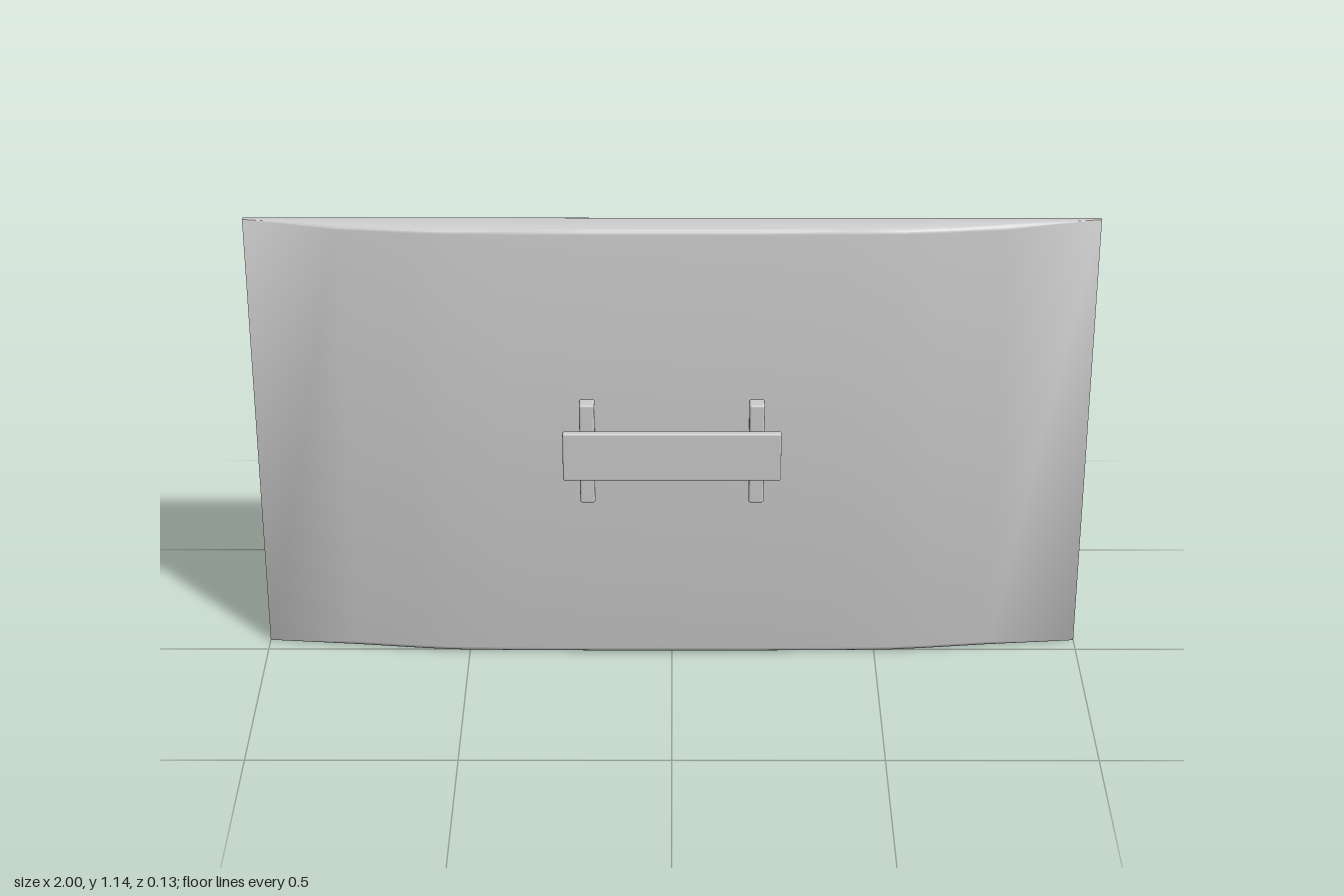
import * as THREE from 'three';
import { toCreasedNormals } from 'three/addons/utils/BufferGeometryUtils.js';
import { RoundedBoxGeometry } from 'three/addons/geometries/RoundedBoxGeometry.js';

const W = 1, H = 1.14;      // half width and full height of the display
const SEAM = -0.045;        // where the rear shell meets the bezel
const INSET = 0.042;        // bezel width

// Skin a surface through rows of points; outward normal = row direction x point direction.
function loft(rows, crease) {
  const n = rows[0].length, index = [];
  for (let i = 0; i < rows.length - 1; i++) {
    for (let j = 0; j < n - 1; j++) {
      const a = i * n + j, b = a + n;
      index.push(a, b, b + 1, a, b + 1, a + 1);
    }
  }
  const geo = new THREE.BufferGeometry();
  geo.setAttribute('position', new THREE.Float32BufferAttribute(rows.flat(2), 3));
  geo.setIndex(index);
  return toCreasedNormals(geo, crease);
}

export function createModel() {
  const group = new THREE.Group();
  const material = new THREE.MeshStandardMaterial({ color: 0xcccccc, side: THREE.DoubleSide });
  const add = (name, geometry, x = 0, y = 0, z = 0) => {
    const mesh = new THREE.Mesh(geometry, material);
    mesh.name = name;
    mesh.position.set(x, y, z);
    group.add(mesh);
  };

  // Bulging shell: flat in the middle, tapering to a thin edge at both sides
  const half = [[1, -0.044], [0.78, -0.014], [0.62, 0.004], [0.54, 0.011], [0.4, 0.014], [0.2, 0.016]];
  const profile = [...half.map(([x, z]) => [-x, z]), ...[...half].reverse()];
  const sections = profile.map(([x, front]) => {
    const r = Math.min(0.014, (front - SEAM) * 0.5), row = [[x, 0, SEAM]];
    const steps = 4;
    for (let k = 0; k <= steps; k++) {
      const a = (k / steps) * Math.PI / 2;
      row.push([x, r - r * Math.cos(a), front - r + r * Math.sin(a)]);
    }
    const top = row.map(([px, y, z]) => [px, H - y, z]).reverse();
    return [...row, ...top];
  });
  add('shell', loft(sections, 0.6));

  // Rounded bezel: concentric rectangles given as [inset, z]
  const rings = [[0, SEAM], [0, -0.054], [0.003, -0.061], [0.01, -0.065], [0.028, -0.066],
    [0.037, -0.064], [INSET, -0.059], [INSET, -0.05]];
  const frame = rings.map(([d, z]) => [
    [W - d, d, z], [W - d, H - d, z], [d - W, H - d, z], [d - W, d, z], [W - d, d, z],
  ]);
  add('bezel', loft(frame, 0.7));

  // Recessed screen
  add('screen', new THREE.BoxGeometry(2 * (W - INSET), H - 2 * INSET, 0.01), 0, H / 2, -0.051);

  // Wall mount: two upright rails and a cross plate
  for (const side of [-1, 1]) {
    add('mountRail', new RoundedBoxGeometry(0.036, 0.262, 0.038, 3, 0.005), side * 0.202, 0.571, 0.031);
  }
  add('mountPlate', new RoundedBoxGeometry(0.52, 0.125, 0.018, 3, 0.004), 0, 0.572, 0.058);

  return group;
}
